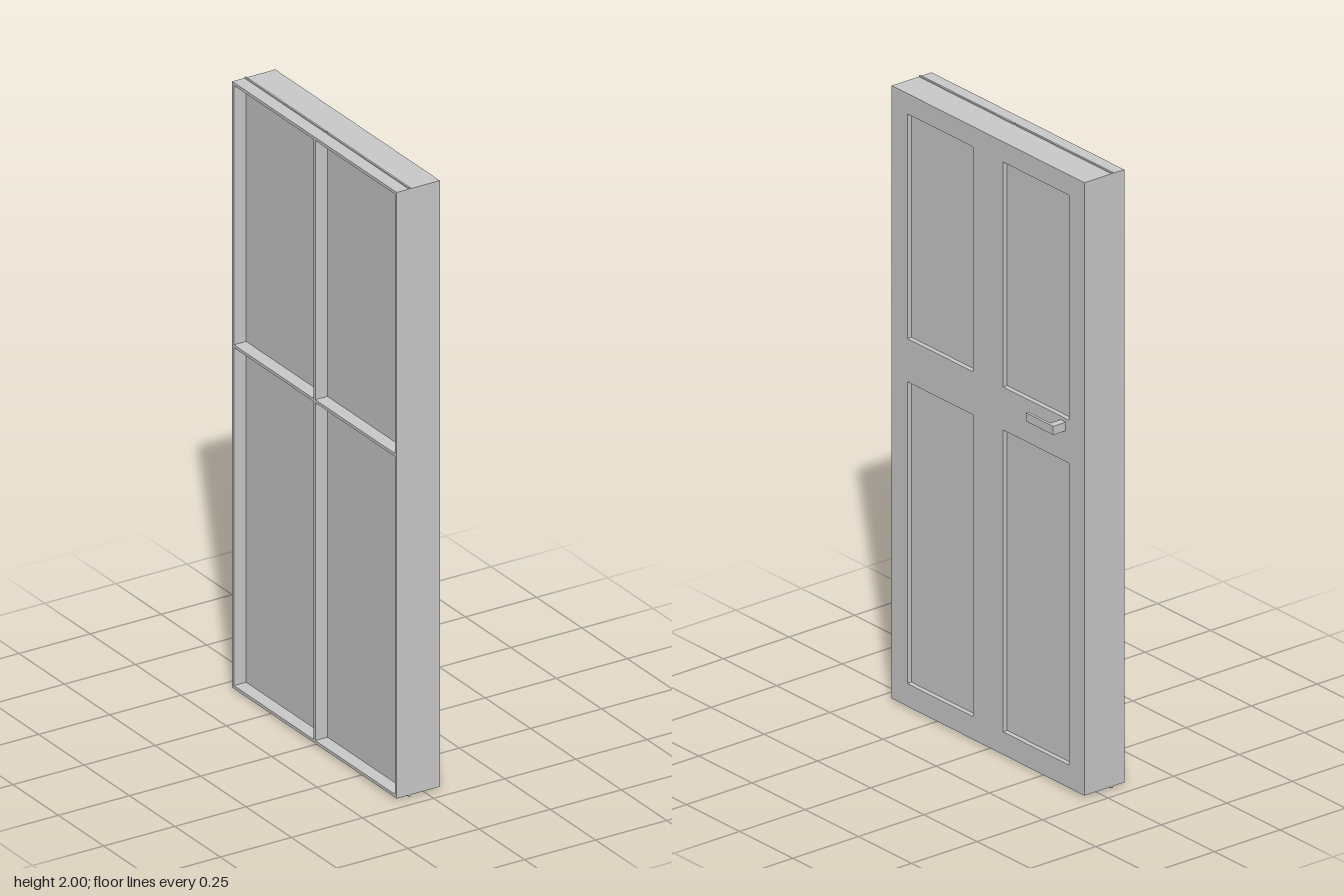
import * as THREE from 'three';

const grey = new THREE.MeshStandardMaterial({ color: 0xcccccc, flatShading: true });
const HALF = 0.453, BOTTOM = 0.006, TOP = 1.996;

// Box given by its min and max on each axis
function box(name, [x0, x1], [y0, y1], [z0, z1]) {
  const mesh = new THREE.Mesh(new THREE.BoxGeometry(x1 - x0, y1 - y0, z1 - z0), grey);
  mesh.name = name;
  mesh.position.set((x0 + x1) / 2, (y0 + y1) / 2, (z0 + z1) / 2);
  return mesh;
}

function rectangle(target, z0, z1, y0, y1) {
  target.moveTo(z0, y0).lineTo(z1, y0).lineTo(z1, y1).lineTo(z0, y1).closePath();
  return target;
}

// Door-sized slab lying between x0 and x1, cut by mirrored openings [z0, z1, y0, y1]
function piercedSlab(name, x0, x1, openings) {
  const shape = rectangle(new THREE.Shape(), -HALF, HALF, BOTTOM, TOP);
  for (const [z0, z1, y0, y1] of openings) {
    shape.holes.push(rectangle(new THREE.Path(), z0, z1, y0, y1));
    shape.holes.push(rectangle(new THREE.Path(), -z1, -z0, y0, y1));
  }
  const geometry = new THREE.ExtrudeGeometry(shape, { depth: x1 - x0, bevelEnabled: false });
  geometry.rotateY(Math.PI / 2).translate(x0, 0, 0);
  const mesh = new THREE.Mesh(geometry, grey);
  mesh.name = name;
  return mesh;
}

export function createModel() {
  const door = new THREE.Group();
  door.name = 'door';

  // Handle-side leaf with four sunken fields
  const fields = [[0.07, 0.38, 1.2, 1.93], [0.07, 0.38, 0.08, 1.06]];
  door.add(piercedSlab('doorLeaf', -0.05, 0.052, fields));
  for (const [z0, z1, y0, y1] of fields) {
    door.add(box('sunkenField', [-0.05, 0.036], [y0, y1], [z0, z1]));
    door.add(box('sunkenField', [-0.05, 0.036], [y0, y1], [-z1, -z0]));
  }

  // Thin lattice of boards on the other side
  door.add(piercedSlab('backFrame', -0.1, -0.05, [
    [0.005, HALF - 0.01, 1.135, TOP - 0.01],
    [0.005, HALF - 0.01, BOTTOM + 0.01, 1.125],
  ]));

  // Thin panes between leaf and lattice, just proud at top and bottom
  for (const [y0, y1] of [[0, 1.127], [1.133, 2]]) {
    door.add(box('backPane', [-0.057, -0.051], [y0, y1], [0.004, HALF - 0.001]));
    door.add(box('backPane', [-0.057, -0.051], [y0, y1], [0.001 - HALF, -0.004]));
  }

  // L-shaped lever handle
  const handle = new THREE.Group();
  handle.name = 'handle';
  handle.add(box('handleStem', [0.04, 0.1], [1.16, 1.188], [-0.365, -0.341]));
  handle.add(box('handleLever', [0.091, 0.1], [1.16, 1.188], [-0.341, -0.237]));
  door.add(handle);

  return door;
}
